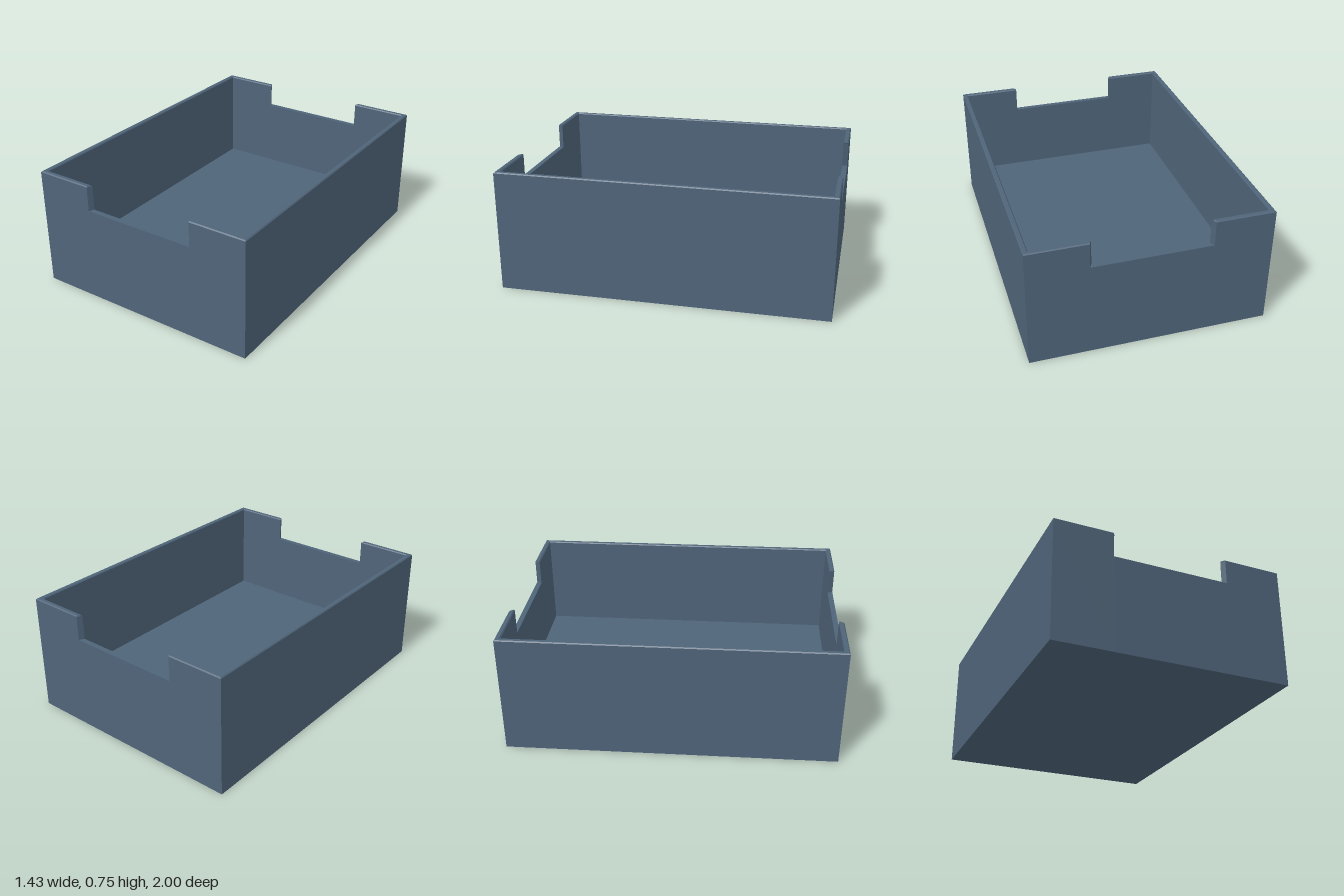
import * as THREE from 'three';

const W = 0.717, D = 1, H = 0.745;        // outer half width, half depth, height
const T = 0.032;                          // wall thickness
const NOTCH_OUT = 0.358, NOTCH_IN = 0.343; // flared notch half widths
const NOTCH_Y = 0.587, FLOOR_Y = 0.15, BEVEL = 0.006;

// Extrude a plan outline (x, z) upwards from the ground
function raise(points, height, steps = 1) {
  const shape = new THREE.Shape(points.map(([x, z]) => new THREE.Vector2(x, -z)));
  const geo = new THREE.ExtrudeGeometry(shape, { depth: height, steps, bevelEnabled: false });
  return geo.rotateX(-Math.PI / 2);
}

// C-shaped wall: one long side with its two corner returns and a chamfered rim
function sideWallGeometry() {
  const xi = W - T, zi = D - T;
  const geo = raise([
    [W, -D], [W, D], [NOTCH_OUT, D], [NOTCH_IN, zi],
    [xi, zi], [xi, -zi], [NOTCH_IN, -zi], [NOTCH_OUT, -D],
  ], H, 2);
  const p = geo.attributes.position;
  const near = (a, b) => Math.abs(a - b) < 1e-4;
  for (let i = 0; i < p.count; i++) {
    const x = p.getX(i), y = p.getY(i), z = p.getZ(i);
    if (near(y, H / 2)) p.setY(i, H - BEVEL);
    if (!near(y, H)) continue;
    if (near(x, W)) p.setX(i, W - BEVEL);
    if (near(x, xi)) p.setX(i, xi + BEVEL);
    if (near(Math.abs(z), D)) p.setZ(i, Math.sign(z) * (D - BEVEL));
    if (near(Math.abs(z), zi)) p.setZ(i, Math.sign(z) * (zi + BEVEL));
  }
  geo.computeVertexNormals();
  return geo;
}

export function createModel() {
  const group = new THREE.Group();
  group.name = 'openTray';
  const slate = new THREE.MeshStandardMaterial({ color: 0x4f6479 });
  slate.name = 'slateBlue';

  const add = (name, geo, turn = 0) => {
    const mesh = new THREE.Mesh(geo, slate);
    mesh.name = name;
    mesh.rotation.y = turn;
    group.add(mesh);
    return mesh;
  };

  // Long sides, the second turned half way round
  const side = sideWallGeometry();
  add('leftWall', side);
  add('rightWall', side, Math.PI);

  // Lower end panels below the notches
  const panel = raise([
    [-NOTCH_OUT, D], [NOTCH_OUT, D], [NOTCH_IN, D - T], [-NOTCH_IN, D - T],
  ], NOTCH_Y);
  add('frontPanel', panel);
  add('backPanel', panel, Math.PI);

  // Thick floor
  const floor = new THREE.BoxGeometry(2 * (W - T), FLOOR_Y, 2 * (D - T));
  add('floor', floor).position.y = FLOOR_Y / 2;

  return group;
}
